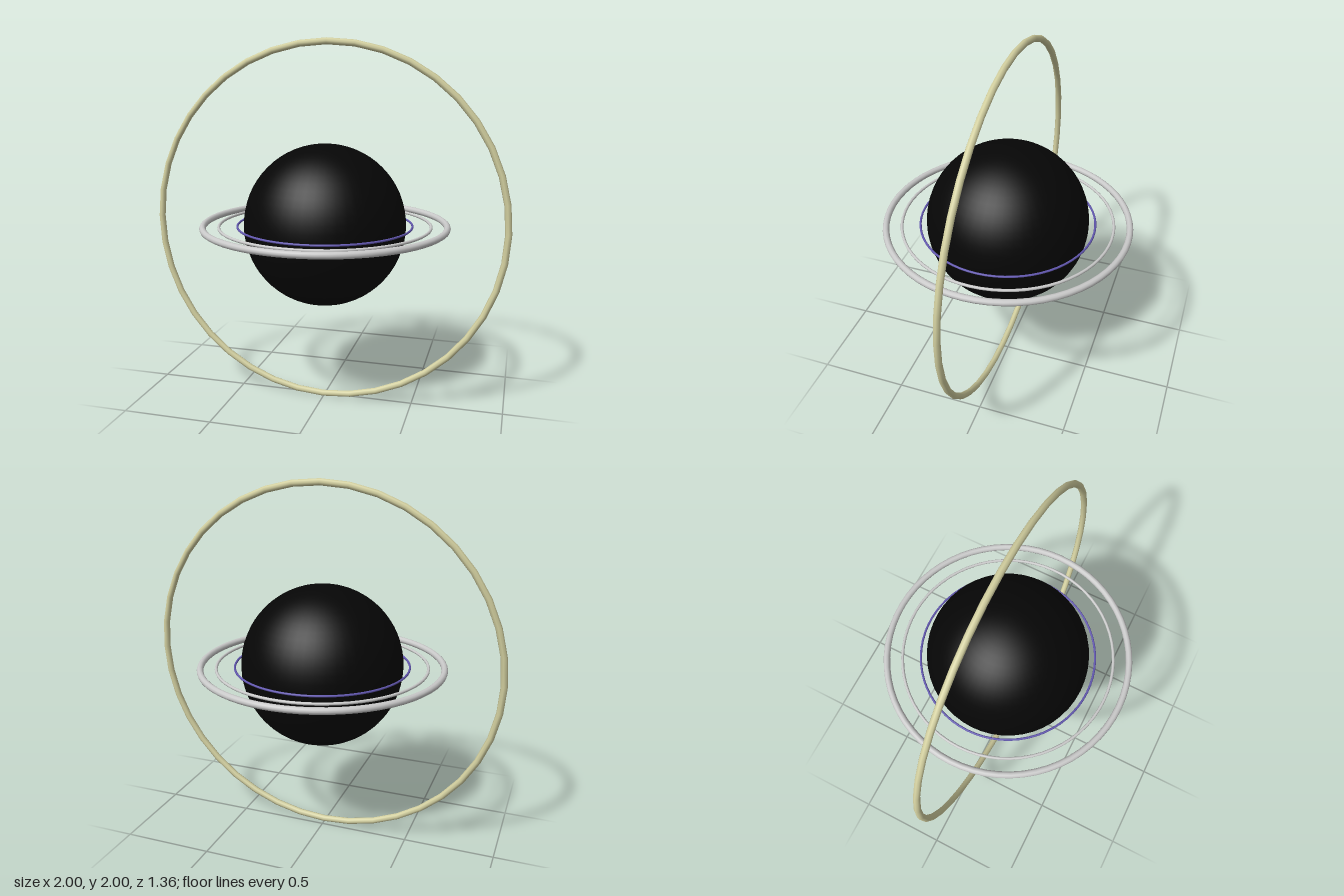
import * as THREE from 'three';

const paint = (name, color) => {
  const m = new THREE.MeshStandardMaterial({ color });
  m.name = name;
  return m;
};

export function createModel() {
  const black = paint('black', 0x060606);
  const silver = paint('silver', 0xcacaca);
  const violet = paint('violet', 0x6257b0);
  const paleGold = paint('paleGold', 0xd3d0a0);

  const model = new THREE.Group();
  model.name = 'ringedSphere';

  const add = (name, geometry, material, tilt = 0) => {
    const mesh = new THREE.Mesh(geometry, material);
    mesh.name = name;
    mesh.position.y = 1;
    mesh.rotation.x = tilt;
    model.add(mesh);
  };

  // Dark central body
  add('sphere', new THREE.SphereGeometry(0.443, 48, 32), black);

  // Flat rings around the equator: name, radius, tube radius, material
  const rings = [
    ['innerRing', 0.478, 0.006, violet],
    ['middleRing', 0.578, 0.008, silver],
    ['outerRing', 0.664, 0.018, silver],
  ];
  for (const [name, radius, tube, material] of rings) {
    add(name, new THREE.TorusGeometry(radius, tube, 10, 64), material, Math.PI / 2);
  }

  // Large upright ring, leaning slightly back at the top
  add('uprightRing', new THREE.TorusGeometry(0.981, 0.018, 8, 40), paleGold, -0.035);

  return model;
}
